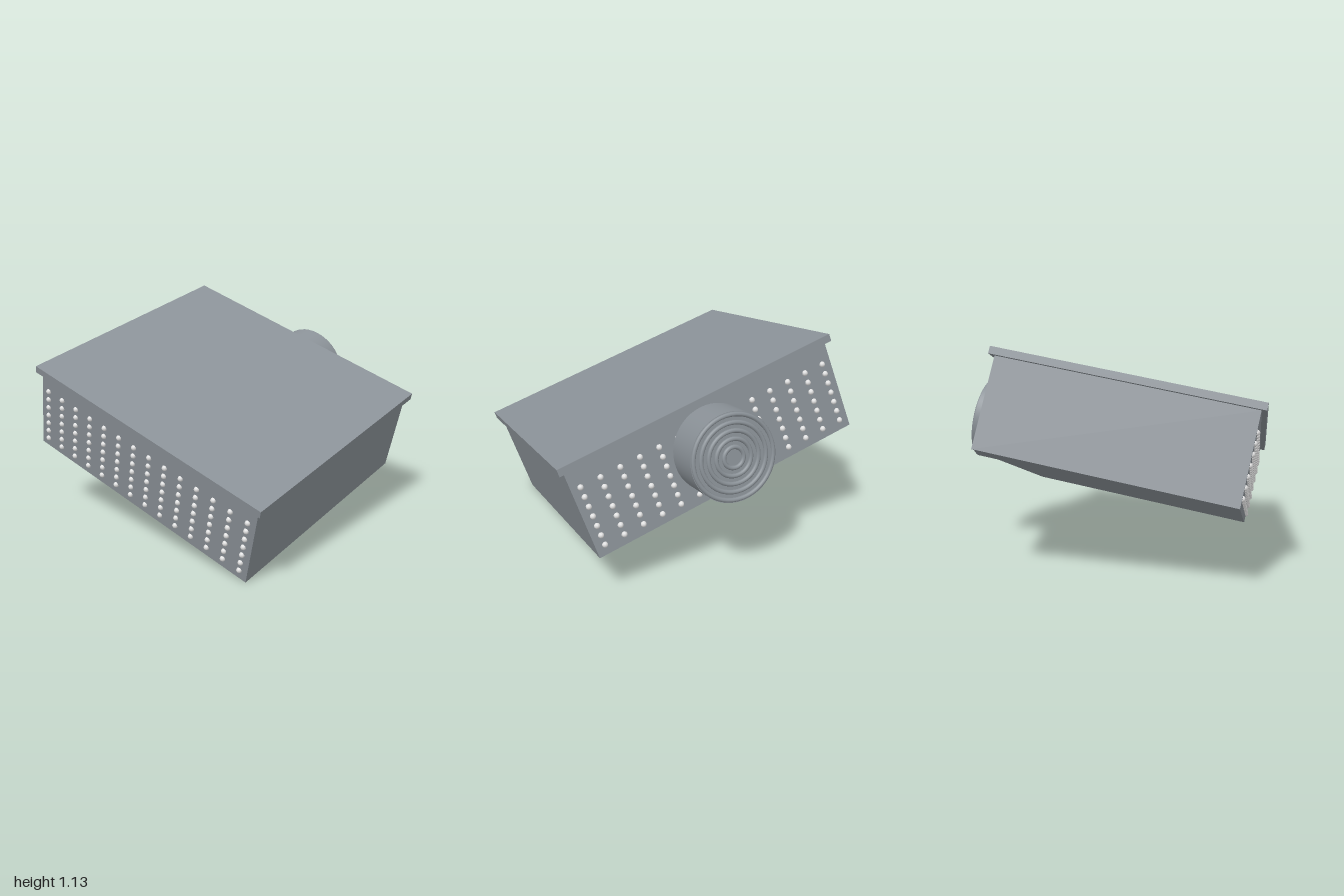
import * as THREE from 'three';

export function createModel() {
  const model = new THREE.Group();
  const metal = new THREE.MeshStandardMaterial({ color: 0x8b9298 });
  metal.name = 'grey metal';
  const pale = new THREE.MeshStandardMaterial({ color: 0xe2e2e2 });
  pale.name = 'pale stud';

  const W = 1.29, H = 0.46, D = 1.44, LID = 0.037, OVERHANG = 0.025;

  // the whole box lies tilted and turned
  const box = new THREE.Group();
  box.name = 'filterBox';
  box.rotation.set(THREE.MathUtils.degToRad(20), THREE.MathUtils.degToRad(31.7), 0);
  box.position.set(0, 0.324, -0.1);
  model.add(box);

  const add = (name, geometry, material, x, y, z, parent = box) => {
    const mesh = new THREE.Mesh(geometry, material);
    mesh.name = name;
    mesh.position.set(x, y, z);
    parent.add(mesh);
    return mesh;
  };

  // housing and overhanging lid
  add('body', new THREE.BoxGeometry(W, H, D), metal, 0, H / 2, 0);
  add('lid', new THREE.BoxGeometry(W + 2 * OVERHANG, LID, D + 2 * OVERHANG), metal, 0, H + LID / 2, 0);

  // round outlet with concentric rings on its end
  const outlet = new THREE.Group();
  outlet.name = 'outlet';
  outlet.position.set(W / 2, H / 2, 0);
  box.add(outlet);
  const length = 0.2;
  const pipe = add('pipe', new THREE.CylinderGeometry(0.218, 0.218, length, 48), metal, length / 2, 0, 0, outlet);
  pipe.rotation.z = -Math.PI / 2;
  for (let i = 0; i < 5; i++) {
    const ring = add('ring', new THREE.TorusGeometry(0.05 + i * 0.0385, 0.011, 8, 48), metal, length, 0, 0, outlet);
    ring.rotation.y = Math.PI / 2;
  }

  // grids of studs on both perforated sides
  const stud = new THREE.SphereGeometry(0.015, 8, 6);
  for (const side of [-1, 1]) {
    const grid = new THREE.Group();
    grid.name = side > 0 ? 'leftStuds' : 'rightStuds';
    box.add(grid);
    for (let c = 0; c < 14; c++) {
      for (let r = 0; r < 7; r++) {
        add('stud', stud, pale, side * W / 2, 0.05 + r * 0.052, (c - 6.5) * 0.1035, grid);
      }
    }
  }
  return model;
}
